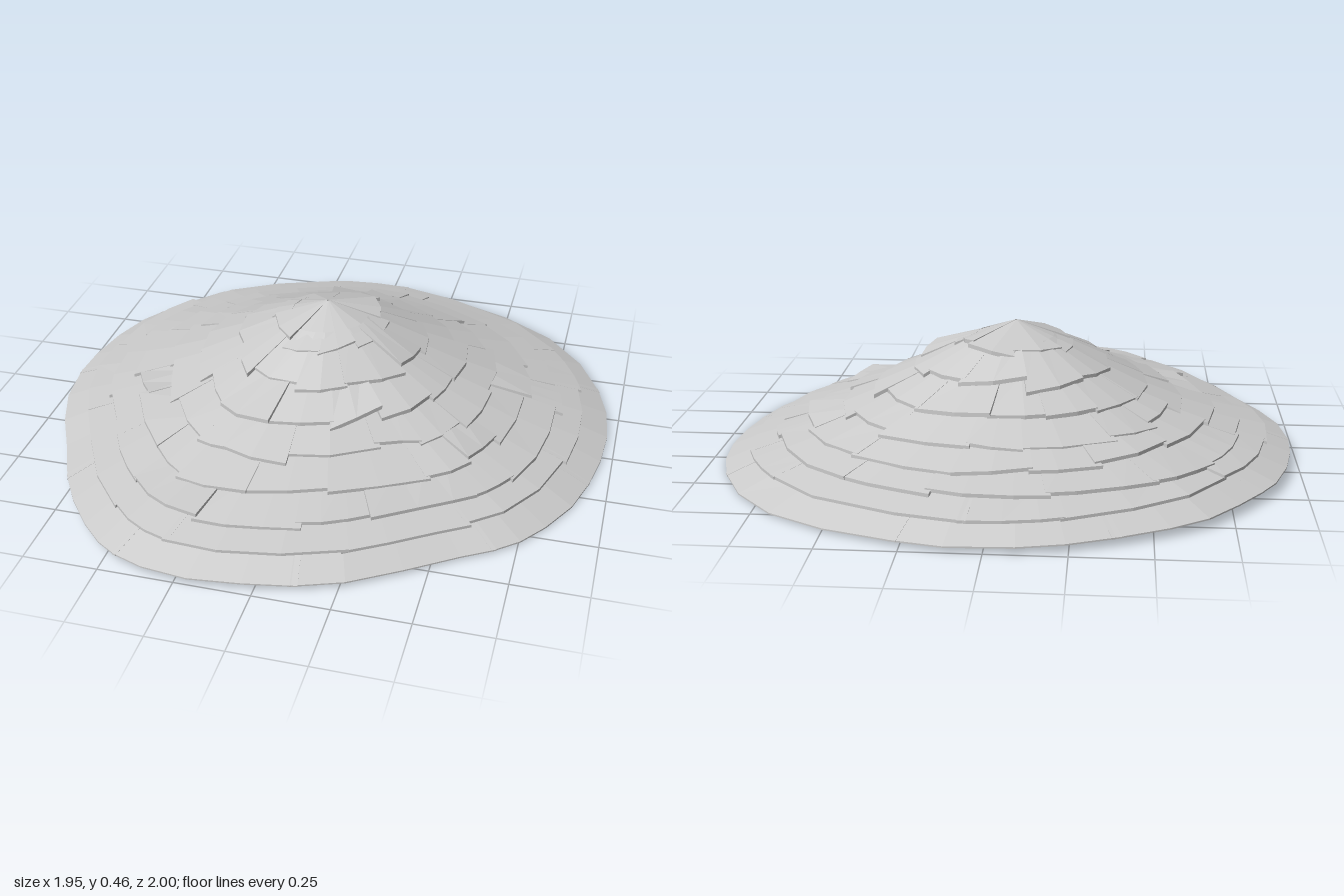
import * as THREE from 'three';
import { mergeGeometries } from 'three/addons/utils/BufferGeometryUtils.js';

// Rim of the roof seen from above (x, z), starting at +x and turning towards +z
const RIM = [
  [0.97, -0.1], [0.95, 0.1], [0.9, 0.3], [0.81, 0.47], [0.72, 0.58], [0.6, 0.66], [0.4, 0.8],
  [0.2, 0.92], [0, 0.97], [-0.2, 1], [-0.38, 0.98], [-0.5, 0.93], [-0.62, 0.82], [-0.75, 0.64],
  [-0.85, 0.42], [-0.93, 0.25], [-0.98, 0.05], [-0.97, -0.2], [-0.9, -0.45], [-0.8, -0.6],
  [-0.68, -0.75], [-0.53, -0.85], [-0.3, -0.95], [-0.15, -0.99], [0.1, -1], [0.3, -0.95],
  [0.57, -0.84], [0.75, -0.7], [0.88, -0.5], [0.95, -0.3],
];
const rim = new THREE.CatmullRomCurve3(RIM.map(([x, z]) => new THREE.Vector3(x, 0, z)), true);
const APEX = { x: -0.03, z: -0.05 };

// Height of the roof against the fraction of the way from peak to rim
const SLOPE = [[0, 0.455], [0.06, 0.445], [0.15, 0.4], [0.3, 0.315], [0.45, 0.235], [0.65, 0.15],
  [0.8, 0.095], [0.92, 0.05], [1, 0.02], [1.2, -0.04]];

function height(f) {
  let i = 1;
  while (i < SLOPE.length - 1 && f > SLOPE[i][0]) i++;
  const [f0, y0] = SLOPE[i - 1], [f1, y1] = SLOPE[i];
  return y0 + (y1 - y0) * (f - f0) / (f1 - f0);
}

function roofPoint(t, f, lift) {
  const p = rim.getPoint(((t % 1) + 1) % 1);
  const x = APEX.x + (p.x - APEX.x) * f;
  const z = APEX.z + (p.z - APEX.z) * f;
  return [x, Math.max(0, height(f) - 0.018 * x * f + lift), z];
}

function seeded(seed) {
  return () => {
    seed = (seed * 16807) % 2147483647;
    return seed / 2147483647;
  };
}

// One curved slab from angle t0 to t1; outer edge and lift may differ at its two ends
function plate(t0, t1, inner, outer, lift, thick, steps) {
  const pos = [], idx = [];
  for (let k = 0; k <= steps; k++) {
    const s = k / steps, t = t0 + (t1 - t0) * s;
    const fo = THREE.MathUtils.lerp(outer[0], outer[1], s);
    const up = THREE.MathUtils.lerp(lift[0], lift[1], s);
    pos.push(...roofPoint(t, inner, 0), ...roofPoint(t, fo, up),
      ...roofPoint(t, fo, up + thick), ...roofPoint(t, inner, thick * 0.6));
  }
  for (let k = 0; k < steps; k++) {
    for (let j = 0; j < 4; j++) {
      const a = k * 4 + j, b = k * 4 + (j + 1) % 4;
      idx.push(b, a + 4, a, b, b + 4, a + 4);
    }
  }
  const e = steps * 4;
  idx.push(0, 2, 1, 0, 3, 2, e, e + 1, e + 2, e, e + 2, e + 3);
  const g = new THREE.BufferGeometry();
  g.setAttribute('position', new THREE.Float32BufferAttribute(pos, 3));
  g.setIndex(idx);
  g.computeVertexNormals();
  return g;
}

// Overlapping courses from the rim up; loose = how far plates stray
const COURSES = [
  { name: 'rimCourse', inner: 0.84, outer: 1, count: 10, steps: 4, lift: 0, thick: 0.005, loose: 0 },
  { name: 'eaveCourse', inner: 0.76, outer: 0.91, count: 12, steps: 3, lift: 0.012, thick: 0.01, loose: 0.5 },
  { name: 'lowerCourse', inner: 0.65, outer: 0.82, count: 16, steps: 3, lift: 0.012, thick: 0.012, loose: 0.8 },
  { name: 'lowerMiddleCourse', inner: 0.53, outer: 0.71, count: 17, steps: 2, lift: 0.012, thick: 0.012, loose: 1 },
  { name: 'middleCourse', inner: 0.41, outer: 0.59, count: 16, steps: 2, lift: 0.01, thick: 0.012, loose: 1 },
  { name: 'upperMiddleCourse', inner: 0.28, outer: 0.47, count: 14, steps: 2, lift: 0.01, thick: 0.014, loose: 1 },
  { name: 'upperCourse', inner: 0.14, outer: 0.34, count: 11, steps: 2, lift: 0.01, thick: 0.014, loose: 1 },
  { name: 'peakCourse', inner: 0.005, outer: 0.2, count: 8, steps: 2, lift: 0.004, thick: 0.014, loose: 1 },
];

export function createModel() {
  const roof = new THREE.Group();
  roof.name = 'shingledRoof';
  const material = new THREE.MeshStandardMaterial({
    color: 0xcccccc, flatShading: true, side: THREE.DoubleSide,
  });
  const rand = seeded(4711);
  const spread = (r) => (rand() - 0.5) * 2 * r;

  for (const c of COURSES) {
    // Uneven joints around the course
    const start = rand();
    const joints = [];
    for (let i = 0; i < c.count; i++) joints.push(start + (i + spread(0.25)) / c.count);
    joints.push(joints[0] + 1);

    const plates = [];
    for (let i = 0; i < c.count; i++) {
      const out = c.outer + spread(0.018) * c.loose;
      const skew = spread(0.015) * c.loose;
      const lift = c.lift + rand() * 0.008 * c.loose;
      // About one plate in six has one corner sprung up
      const sprung = rand() < 0.17 ? 0.025 * c.loose : 0;
      const side = rand() < 0.5;
      plates.push(plate(
        joints[i] - 0.002, joints[i + 1] + 0.002, c.inner,
        [out - skew, out + skew],
        [lift + (side ? sprung : 0), lift + (side ? 0 : sprung)],
        c.thick, c.steps,
      ));
    }
    const mesh = new THREE.Mesh(mergeGeometries(plates), material);
    mesh.name = c.name;
    roof.add(mesh);
  }
  return roof;
}
